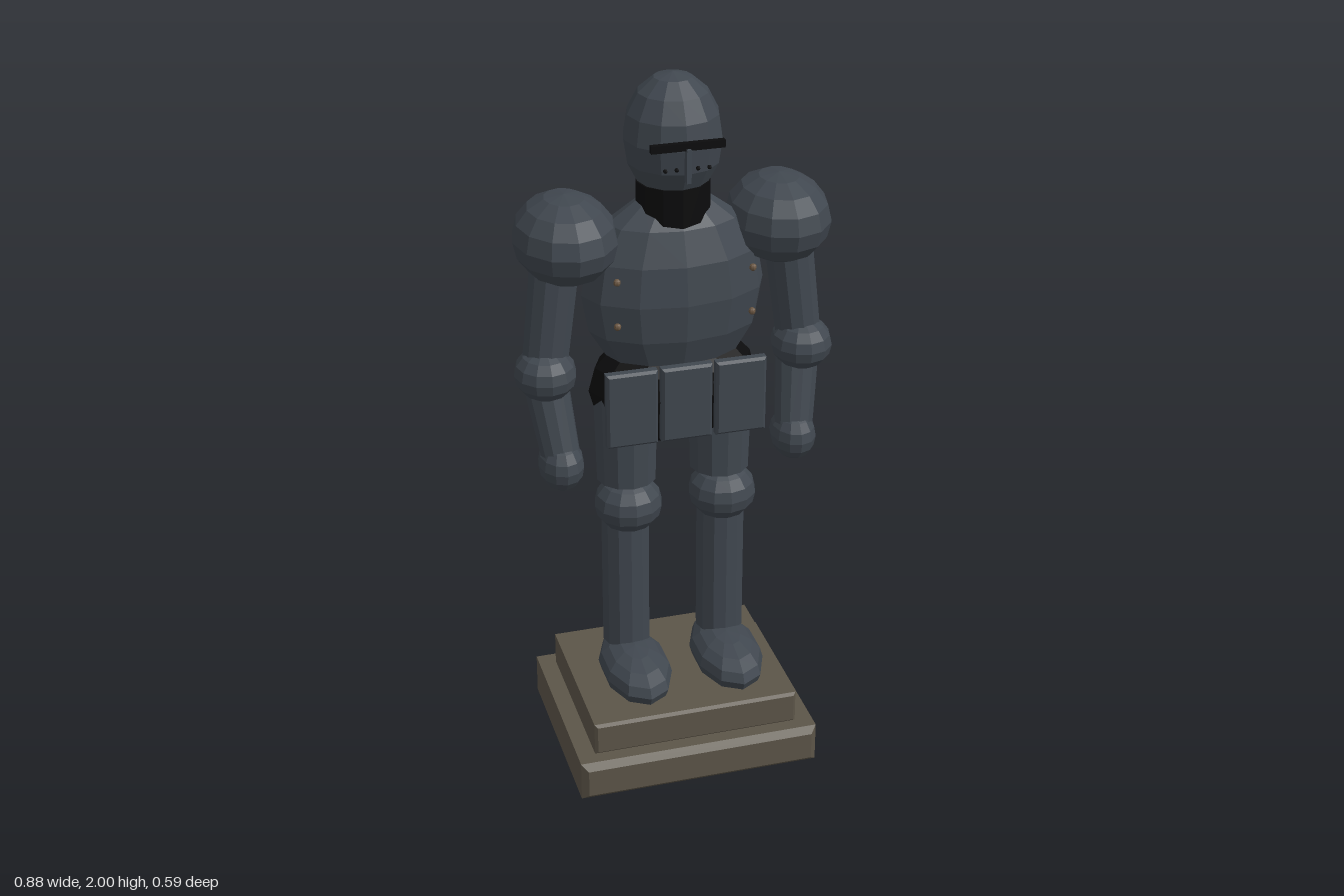
import * as THREE from 'three';

export function createModel() {
  const root = new THREE.Group();
  root.name = 'armourOnPlinth';

  const material = (name, color) => {
    const m = new THREE.MeshStandardMaterial({ color, flatShading: true });
    m.name = name;
    return m;
  };
  const steel = material('darkSteel', 0x40474f);
  const black = material('blackLining', 0x0c0c0d);
  const stone = material('stone', 0x5c5548);
  const brass = material('brass', 0x6a5642);

  const add = (parent, name, geometry, mat, x = 0, y = 0, z = 0) => {
    const mesh = new THREE.Mesh(geometry, mat);
    mesh.name = name;
    mesh.position.set(x, y, z);
    parent.add(mesh);
    return mesh;
  };

  // Faceted ellipsoid
  const ball = (rx, ry, rz, sides = 12, rows = 8) =>
    new THREE.SphereGeometry(1, sides, rows).rotateY(Math.PI / 2).scale(rx, ry, rz);

  // Box with single chamfer on every edge
  const chamferBox = (w, h, d, b) => {
    const x = w / 2 - b, y = h / 2 - b;
    const shape = new THREE.Shape([[-x, -y], [x, -y], [x, y], [-x, y]].map(p => new THREE.Vector2(...p)));
    return new THREE.ExtrudeGeometry(shape, {
      depth: d - 2 * b, bevelEnabled: true, bevelSize: b, bevelThickness: b, bevelSegments: 1,
    }).translate(0, 0, b - d / 2);
  };

  // Faceted tube between two points
  const limb = (parent, name, from, to, r1, r2, sides = 12) => {
    const a = new THREE.Vector3(...from), b = new THREE.Vector3(...to);
    const dir = b.clone().sub(a);
    const mesh = add(parent, name, new THREE.CylinderGeometry(r2, r1, dir.length(), sides), steel);
    mesh.position.copy(a).add(b).multiplyScalar(0.5);
    mesh.quaternion.setFromUnitVectors(new THREE.Vector3(0, 1, 0), dir.normalize());
  };

  // Plinth
  add(root, 'lowerPlinth', chamferBox(0.69, 0.117, 0.594, 0.018), stone, 0, 0.0585, 0);
  add(root, 'upperPlinth', chamferBox(0.59, 0.097, 0.494, 0.008), stone, 0, 0.1645, 0);

  // Body
  add(root, 'breastplate', ball(0.25, 0.275, 0.147), steel, 0, 1.41, 0);
  add(root, 'hips', ball(0.235, 0.17, 0.135), black, 0, 1.13, 0);
  add(root, 'neck', new THREE.CylinderGeometry(0.1, 0.1, 0.15, 12), black, 0, 1.64, 0);
  for (const x of [-0.15, 0, 0.15])
    add(root, 'skirtPlate', chamferBox(0.14, 0.215, 0.034, 0.007), steel, x, 1.128, 0.127);

  // Helmet
  const helmet = new THREE.Group();
  helmet.name = 'helmet';
  root.add(helmet);
  add(helmet, 'skull', ball(0.131, 0.17, 0.134), steel, 0, 1.83, 0);
  add(helmet, 'eyeSlit', new THREE.BoxGeometry(0.194, 0.02, 0.016), black, 0, 1.847, 0.136);
  add(helmet, 'noseRidge', new THREE.BoxGeometry(0.012, 0.09, 0.022), steel, 0, 1.797, 0.141);
  for (const x of [-0.058, -0.028, 0.028, 0.058])
    add(helmet, 'breathHole', ball(0.006, 0.006, 0.006, 6, 4), black, x, 1.785, 0.134);

  // Mirrored limbs and rivets
  for (const s of [1, -1]) {
    const arm = new THREE.Group();
    arm.name = s > 0 ? 'leftArm' : 'rightArm';
    const leg = new THREE.Group();
    leg.name = s > 0 ? 'leftLeg' : 'rightLeg';
    root.add(arm, leg);

    add(arm, 'shoulder', ball(0.138, 0.12, 0.172), steel, s * 0.29, 1.58, 0);
    limb(arm, 'upperArm', [s * 0.357, 1.2, 0.005], [s * 0.318, 1.52, 0], 0.062, 0.067);
    add(arm, 'elbow', ball(0.084, 0.073, 0.092), steel, s * 0.357, 1.21, 0.022);
    limb(arm, 'forearm', [s * 0.329, 0.98, 0.058], [s * 0.355, 1.2, -0.005], 0.053, 0.062);
    add(arm, 'gauntlet', ball(0.062, 0.073, 0.083), steel, s * 0.328, 0.952, 0.055);

    limb(leg, 'thigh', [s * 0.133, 0.855, 0], [s * 0.133, 1.12, 0], 0.083, 0.09);
    add(leg, 'knee', ball(0.095, 0.082, 0.095), steel, s * 0.135, 0.787, 0.026);
    limb(leg, 'shin', [s * 0.138, 0.335, 0], [s * 0.138, 0.745, 0], 0.068, 0.068);
    add(leg, 'foot', ball(0.098, 0.069, 0.178, 10), steel, s * 0.135, 0.282, 0.082);

    for (const y of [1.49, 1.365])
      add(root, 'rivet', ball(0.01, 0.01, 0.01, 8, 6), brass, s * 0.183, y, 0.12);
  }
  return root;
}
